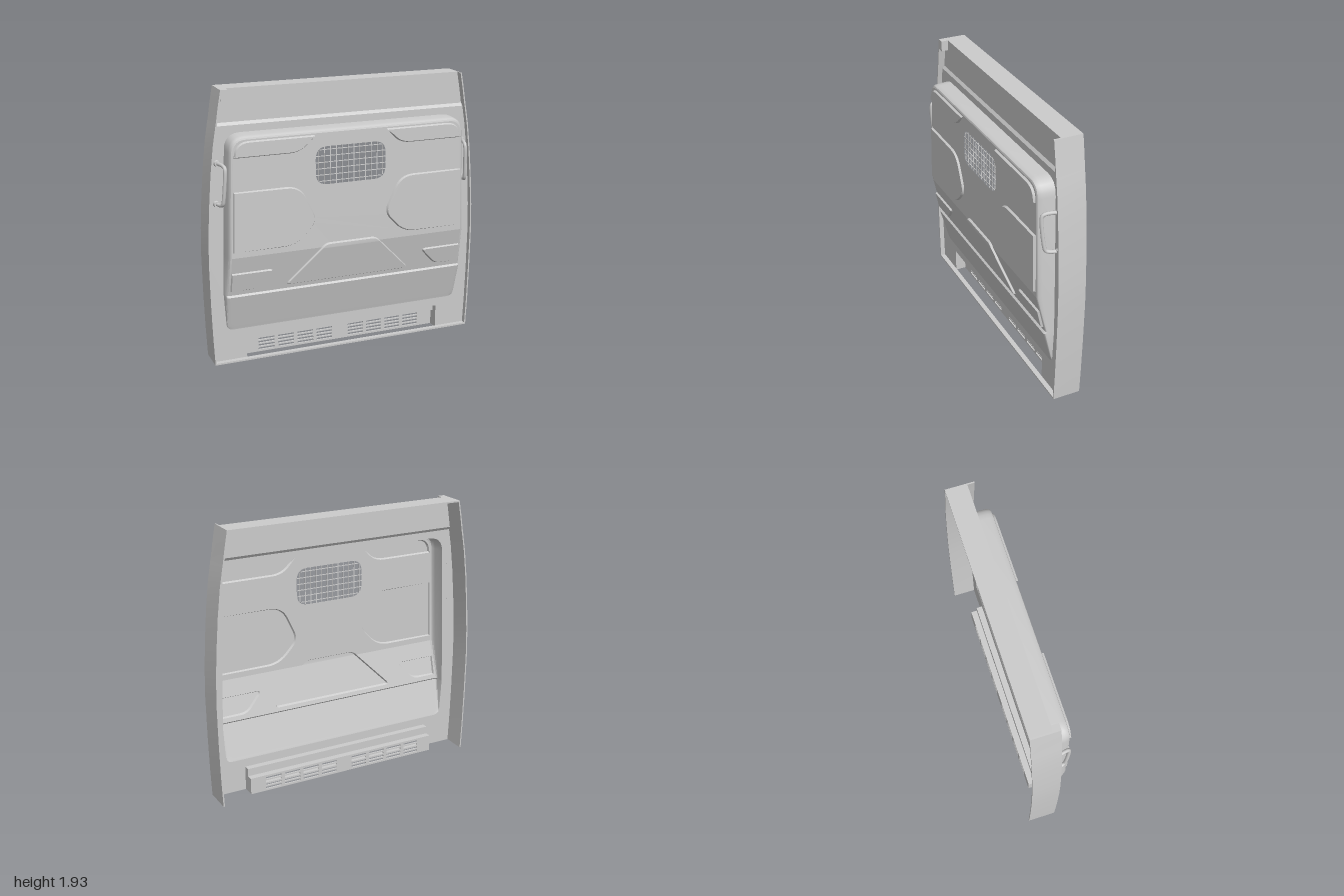
import * as THREE from 'three';
import { toCreasedNormals } from 'three/addons/utils/BufferGeometryUtils.js';

const material = new THREE.MeshStandardMaterial({ color: 0xcccccc, side: THREE.DoubleSide });
const V2 = (x, y) => new THREE.Vector2(x, y);
const V3 = (x, y, z) => new THREE.Vector3(x, y, z);
const BASE = 0.015; // depth of the flat panel
const RISE = 0.015; // height of the raised pads

// Depth of the pressed bulge at height y
const profile = [[0.235, BASE], [0.5, 0.086], [0.512, 0.073], [0.8, 0.138], [2, 0.138]];
function bulgeZ(y) {
  if (y <= profile[0][0]) return BASE;
  const i = profile.findIndex((p) => p[0] >= y);
  const [y0, z0] = profile[i - 1], [y1, z1] = profile[i];
  return z0 + ((z1 - z0) * (y - y0)) / (y1 - y0);
}

// Polygon from corners [x, y, rounding]
function rounded(corners) {
  const n = corners.length, out = [];
  corners.forEach(([x, y, r = 0], i) => {
    const c = V2(x, y);
    if (!r) return out.push(c);
    const toward = (q) => V2(q[0], q[1]).sub(c).setLength(r).add(c);
    const a = toward(corners[(i + n - 1) % n]), b = toward(corners[(i + 1) % n]);
    out.push(...new THREE.QuadraticBezierCurve(a, c, b).getPoints(6));
  });
  return out;
}
const mirrored = (pts) => pts.map((p) => V2(-p.x, p.y)).reverse();
const between = (pts, lo, hi) => pts.filter((p) => p.y >= lo && p.y <= hi);

// Move a counterclockwise outline inwards
function inset(pts, d) {
  const n = pts.length;
  return pts.map((p, i) => {
    const t = pts[(i + 1) % n].clone().sub(pts[(i + n - 1) % n]).normalize();
    return V2(p.x - t.y * d, p.y + t.x * d);
  });
}

// Flat outline with holes, lifted to depth z(y)
function sheet(outline, holes, z) {
  const shape = new THREE.Shape(outline);
  shape.holes = holes.map((h) => new THREE.Path(h));
  const g = new THREE.ShapeGeometry(shape), p = g.attributes.position;
  for (let i = 0; i < p.count; i++) p.setZ(i, z(p.getY(i)));
  g.computeVertexNormals();
  return g;
}

// Surface through rings of equal length
function loft(rings, closed = true) {
  const n = rings[0].length, index = [];
  for (let r = 0; r < rings.length - 1; r++) {
    for (let i = 0; i < (closed ? n : n - 1); i++) {
      const a = r * n + i, b = r * n + ((i + 1) % n);
      index.push(a, b, b + n, a, b + n, a + n);
    }
  }
  const g = new THREE.BufferGeometry().setFromPoints(rings.flat());
  g.setIndex(index);
  return toCreasedNormals(g, 0.6);
}

export function createModel() {
  const model = new THREE.Group();
  const add = (name, geometry, x = 0, y = 0, z = 0) => {
    const m = new THREE.Mesh(geometry, material);
    m.name = name;
    m.position.set(x, y, z);
    model.add(m);
    return m;
  };
  const box = (name, w, h, d, x, y, z) => add(name, new THREE.BoxGeometry(w, h, d), x, y, z);

  // Curved side walls, top wall and bottom lip
  const edge = [[0.98, 0], [0.989, 0.2], [0.996, 0.45], [1, 0.75], [0.995, 0.95], [0.983, 1.15], [0.965, 1.37],
    [0.943, 1.56], [0.922, 1.685], [0.918, 1.705], [0.9, 1.82], [0.88, 1.93]].map(([x, y]) => V2(x, y));
  const wall = [...edge, ...edge.map((p) => V2(p.x - 0.01, p.y)).reverse()];
  for (const [name, pts] of [['leftSideWall', wall], ['rightSideWall', mirrored(wall)]]) {
    const g = new THREE.ExtrudeGeometry(new THREE.Shape(pts), { depth: 0.2, bevelEnabled: false });
    add(name, toCreasedNormals(g, 0.5), 0, 0, -0.15);
  }
  box('topWall', 1.755, 0.01, 0.15, 0, 1.925, -0.075);
  box('bottomLip', 1.95, 0.012, 0.035, 0, 0.006, 0.0325);
  box('cornerBlock', 0.05, 0.075, 0.05, -0.855, 1.8925, 0.025);

  // Bulge outline, narrowed by d
  const bulge = (d) => {
    const half = [[0.88 - d, 0.235 + d, 0.05], [0.895 - d, 0.5], [0.895 - d, 0.512], [0.887 - d, 0.8],
      [0.855 - d, 1.635 - d, 0.11 - d]];
    return rounded([...half, ...half.map(([x, y, r]) => [-x, y, r]).reverse()]);
  };

  // Flat panel around the bulge, cut out for the vent, stepping back at the top
  const panelEdge = edge.map((p) => V2(p.x - 0.005, p.y));
  const panel = [...panelEdge, ...mirrored(panelEdge)];
  const cut = [V2(-0.74, 0), V2(-0.74, 0.175), V2(0.74, 0.175), V2(0.74, 0)];
  const stepZ = (y) => (y >= 1.7 ? 0 : BASE);
  add('panel', sheet([...between(panel, 0, 1.69), ...cut], [bulge(0)], stepZ));
  add('panelStep', sheet(between(panel, 1.68, 1.71), [], stepZ));
  add('upperStrip', sheet(between(panel, 1.7, 2), [], stepZ));

  // Rounded rim of the bulge
  const rimSteps = [[0, 0], [0.003, 0.72], [0.007, 0.88], [0.014, 0.97], [0.025, 1]];
  add('bulgeRim', loft(rimSteps.map(([d, t]) =>
    bulge(d).map((p) => V3(p.x, p.y, BASE + (bulgeZ(p.y) - BASE) * t)))));

  // Outlines of the raised pads and the window
  const upperPad = rounded([[0.36, 1.49, 0.08], [0.83, 1.49], [0.822, 1.6, 0.1], [0.265, 1.6]]);
  const middlePad = rounded([[0.4, 0.84, 0.09], [0.856, 0.84], [0.84, 1.26], [0.37, 1.26, 0.1], [0.25, 1.0, 0.07]]);
  const lowerPad = rounded([[0.68, 0.543, 0.05], [0.866, 0.543], [0.862, 0.683], [0.55, 0.683, 0.05]]);
  const centrePad = rounded([[-0.475, 0.54, 0.045], [0.475, 0.54, 0.045], [0.219, 0.8], [0.19, 0.83, 0.035],
    [-0.19, 0.83, 0.035], [-0.219, 0.8]]);
  const windowHole = rounded([[-0.258, 1.25, 0.085], [0.258, 1.25, 0.085], [0.258, 1.515, 0.085], [-0.258, 1.515, 0.085]]);

  // Face of the bulge in bands, with notches around the centre pad
  const face = bulge(0.025);
  const padTop = between(centrePad, 0.8, 1);
  const low = between(centrePad, 0, 0.8).reverse();
  const padBottom = [...low.slice(1), low[0]];
  const band = between(face, 0.512, 0.8); // right low, right high, left high, left low
  const pair = (p) => [p, mirrored(p)];
  add('bulgeFace', sheet([...between(face, 0.8, 2), ...[...padTop].reverse()],
    [windowHole, ...pair(upperPad), ...pair(middlePad)], bulgeZ));
  add('bulgeSlope', sheet([band[0], band[1], ...padBottom, band[2], band[3]], pair(lowerPad), bulgeZ));
  add('rampStep', sheet(between(face, 0.5, 0.512), [], bulgeZ));
  add('lowerRamp', sheet(between(face, 0, 0.5), [], bulgeZ));

  // Raised pads: sloping border and flat top
  const raisedZ = (y) => bulgeZ(y) + RISE;
  const pad = (name, pts) => {
    const top = inset(pts, 0.008);
    add(name + 'Border', loft([
      pts.map((p) => V3(p.x, p.y, bulgeZ(p.y))),
      top.map((p) => V3(p.x, p.y, raisedZ(p.y))),
    ]));
    for (const keep of [(p) => p.y >= 0.8, (p) => p.y <= 0.8]) {
      const part = top.filter((_, i) => keep(pts[i]));
      if (part.length > 2) add(name, sheet(part, [], raisedZ));
    }
  };
  for (const [name, pts] of [['UpperPad', upperPad], ['MiddlePad', middlePad], ['LowerPad', lowerPad]]) {
    pad('left' + name, pts);
    pad('right' + name, mirrored(pts));
  }
  pad('centrePad', centrePad);

  // Wire mesh in the window, shortened at the rounded corners
  const wire = 0.005, hw = 0.258, hh = 0.1325, corner = 0.05;
  for (let i = -5.5; i <= 5.5; i++) {
    const x = i * 0.043, h = hh - Math.max(0, Math.abs(x) - hw + corner);
    box('meshUpright', wire, 2 * h, wire, x, 1.3825, 0.135);
  }
  for (let i = -2.5; i <= 2.5; i++) {
    const y = i * 0.044, w = hw - Math.max(0, Math.abs(y) - hh + corner);
    box('meshCrossWire', 2 * w, wire, wire, 0, 1.3825 + y, 0.135);
  }

  // Grab handles
  for (const s of [1, -1]) {
    const path = [[0.912, 1.438, BASE], [0.892, 1.436, 0.09], [0.886, 1.425, 0.118], [0.886, 1.4, 0.125],
      [0.898, 1.2, 0.108], [0.901, 1.175, 0.1], [0.908, 1.163, 0.08], [0.925, 1.16, BASE]];
    const curve = new THREE.CatmullRomCurve3(path.map(([x, y, z]) => V3(s * x, y, z)));
    const side = s > 0 ? 'left' : 'right';
    add(side + 'Handle', new THREE.TubeGeometry(curve, 48, 0.013, 10));
    for (const [x, y] of [path[0], path[7]]) {
      const foot = add(side + 'HandleFoot', new THREE.CylinderGeometry(0.018, 0.022, 0.02, 16), s * x, y, BASE + 0.01);
      foot.rotation.x = Math.PI / 2;
    }
  }

  // Stepped vent housing, open below
  const steps = [[BASE, 0.175], [-0.03, 0.175], [-0.03, 0.12], [-0.07, 0.12]];
  add('ventRoof', loft([-0.74, 0.74].map((x) => steps.map(([z, y]) => V3(x, y, z))), false));
  const endShape = new THREE.Shape([...steps, [-0.07, 0], [BASE, 0]].map(([z, y]) => V2(-z, y)));
  for (const s of [1, -1]) {
    const end = add(s > 0 ? 'leftVentEnd' : 'rightVentEnd', new THREE.ShapeGeometry(endShape), s * 0.74);
    end.rotation.y = Math.PI / 2;
  }

  // Slotted vent grille
  const grille = new THREE.Shape([V2(-0.74, 0), V2(0.74, 0), V2(0.74, 0.12), V2(-0.74, 0.12)]);
  for (const start of [-0.63, 0.06]) {
    for (let c = 0; c < 4; c++) {
      for (let r = 0; r < 4; r++) {
        const x = start + c * 0.148, y = 0.014 + r * 0.025, q = 0.006;
        grille.holes.push(new THREE.Path(rounded([[x, y, q], [x + 0.122, y, q], [x + 0.122, y + 0.016, q], [x, y + 0.016, q]])));
      }
    }
  }
  add('ventGrille', new THREE.ExtrudeGeometry(grille, { depth: 0.012, bevelEnabled: false }), 0, 0, -0.076);

  // Centre the depth on the side walls and bulge
  return model;
}
